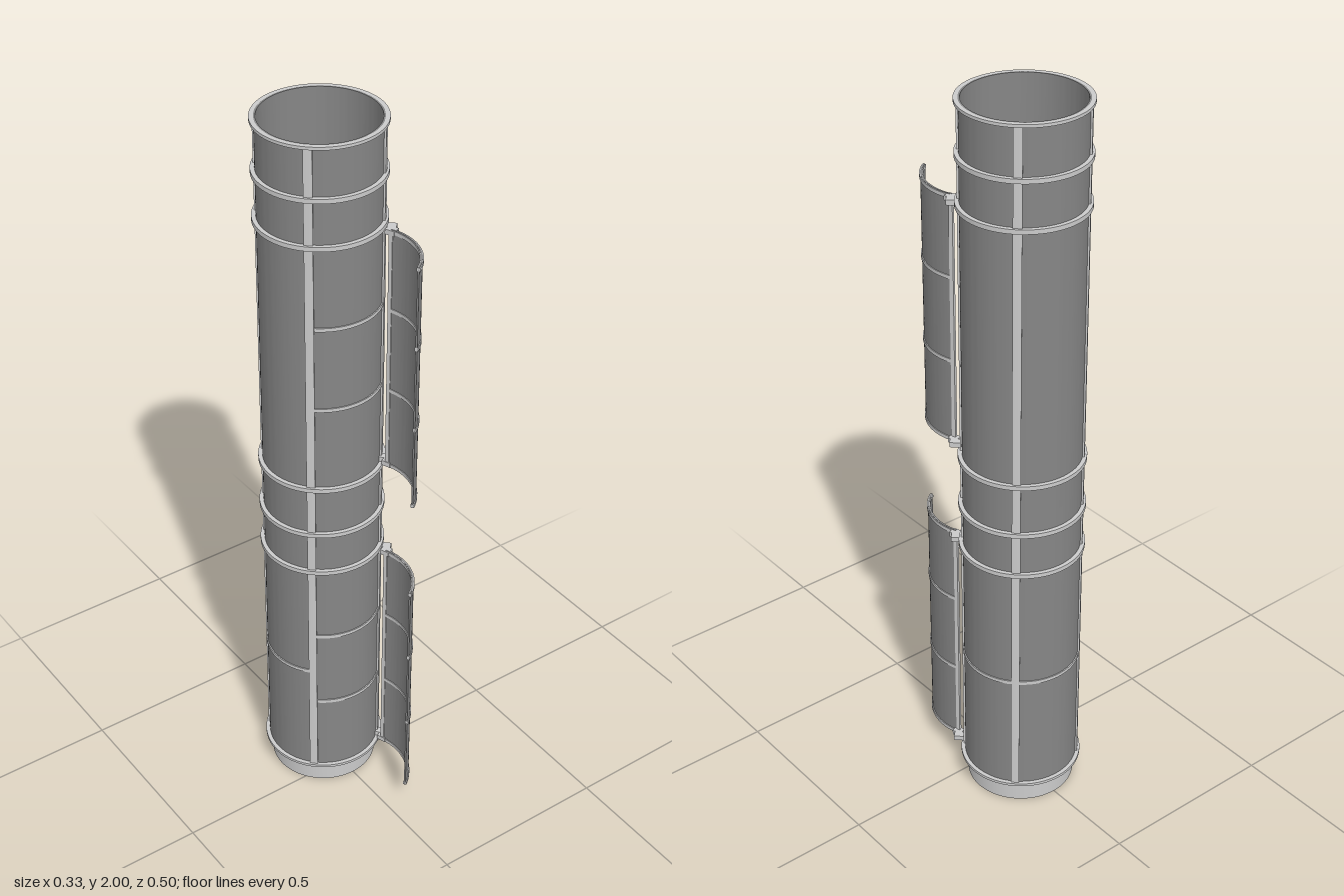
import * as THREE from 'three';
import { toCreasedNormals } from 'three/addons/utils/BufferGeometryUtils.js';

const light = new THREE.MeshStandardMaterial({ color: 0xcccccc, side: THREE.DoubleSide });
const dark = new THREE.MeshStandardMaterial({ color: 0x868686, side: THREE.DoubleSide });
const rad = THREE.MathUtils.degToRad;

function add(parent, name, geometry, material = light) {
  const mesh = new THREE.Mesh(geometry, material);
  mesh.name = name;
  parent.add(mesh);
  return mesh;
}

// Upright curved wall; angles in degrees run from +x towards +z
function wall(r0, r1, y0, y1, a0 = 0, a1 = 360) {
  const shape = new THREE.Shape();
  const full = a1 - a0 === 360;
  shape.absarc(0, 0, r1, rad(a0), rad(a1), false);
  if (full) {
    shape.holes.push(new THREE.Path().absarc(0, 0, r0, 0, Math.PI * 2, true));
  } else {
    shape.absarc(0, 0, r0, rad(a1), rad(a0), true);
    shape.closePath();
  }
  const geometry = new THREE.ExtrudeGeometry(shape, {
    depth: y1 - y0, bevelEnabled: false, curveSegments: full ? 72 : 18,
  });
  geometry.rotateX(Math.PI / 2).translate(0, y1, 0);
  return toCreasedNormals(geometry, rad(30));
}

// Narrow raised band centred on height y
const band = (r0, r1, y, a0, a1) => wall(r0, r1, y - 0.005, y + 0.005, a0, a1);

export function createModel() {
  const model = new THREE.Group();
  const tower = new THREE.Group();
  tower.name = 'tower';
  tower.position.z = -0.083;
  model.add(tower);

  // Pale base plug and dark open-topped shell
  add(tower, 'base', new THREE.CylinderGeometry(0.146, 0.146, 0.065, 72).translate(0, 0.0325, 0));
  add(tower, 'shell', wall(0.149, 0.154, 0.063, 2), dark);

  // Flange rings: thin at the ends, thicker between
  for (const y of [0.066, 1.996]) {
    add(tower, 'endFlange', wall(0.1535, 0.165, y - 0.004, y + 0.004));
  }
  for (const y of [0.766, 0.89, 1.034, 1.736, 1.862]) {
    add(tower, 'flangeRing', wall(0.1535, 0.165, y - 0.006, y + 0.006));
  }

  // Vertical strips between the quarter panels
  for (const a of [45, 135, 225, 315]) {
    add(tower, 'verticalStrip', wall(0.1535, 0.159, 0.063, 1.998, a - 4, a + 4));
  }

  // Seam bands low on the sides and back
  for (const a of [-45, 135, 225]) {
    add(tower, 'sideBand', band(0.152, 0.157, 0.414, a + 4, a + 86));
  }

  // Two door bays, each with an open curved door on the left-hand hinge
  for (const y0 of [0.07, 1.04]) {
    const y1 = y0 + 0.693;
    const seams = [y0 + 0.236, y0 + 0.47];
    for (const y of seams) {
      add(tower, 'frontBand', band(0.152, 0.157, y, 49, 131));
    }

    const door = new THREE.Group();
    door.name = 'door';
    door.position.set(-0.039, 0, 0.12);
    model.add(door);
    add(door, 'doorPanel', wall(0.149, 0.1535, y0, y1, -21, 56), dark);
    for (const y of [y0 + 0.006, ...seams, y1 - 0.006]) {
      add(door, 'doorBand', band(0.147, 0.156, y, -21, 56));
    }
    add(door, 'doorHingeEdge', wall(0.147, 0.156, y0 + 0.001, y1 - 0.001, -23, -19));

    // Hinge plates and knuckles at top and bottom
    for (const y of [y0 + 0.008, y1 - 0.008]) {
      const plate = add(model, 'hingePlate', new THREE.BoxGeometry(0.02, 0.014, 0.036));
      plate.position.set(0.113, y, 0.043);
      plate.rotation.y = rad(45);
      const knuckle = add(model, 'hingeKnuckle', new THREE.BoxGeometry(0.022, 0.014, 0.026));
      knuckle.position.set(0.106, y, 0.062);
      knuckle.rotation.y = rad(20);
    }
  }
  return model;
}
